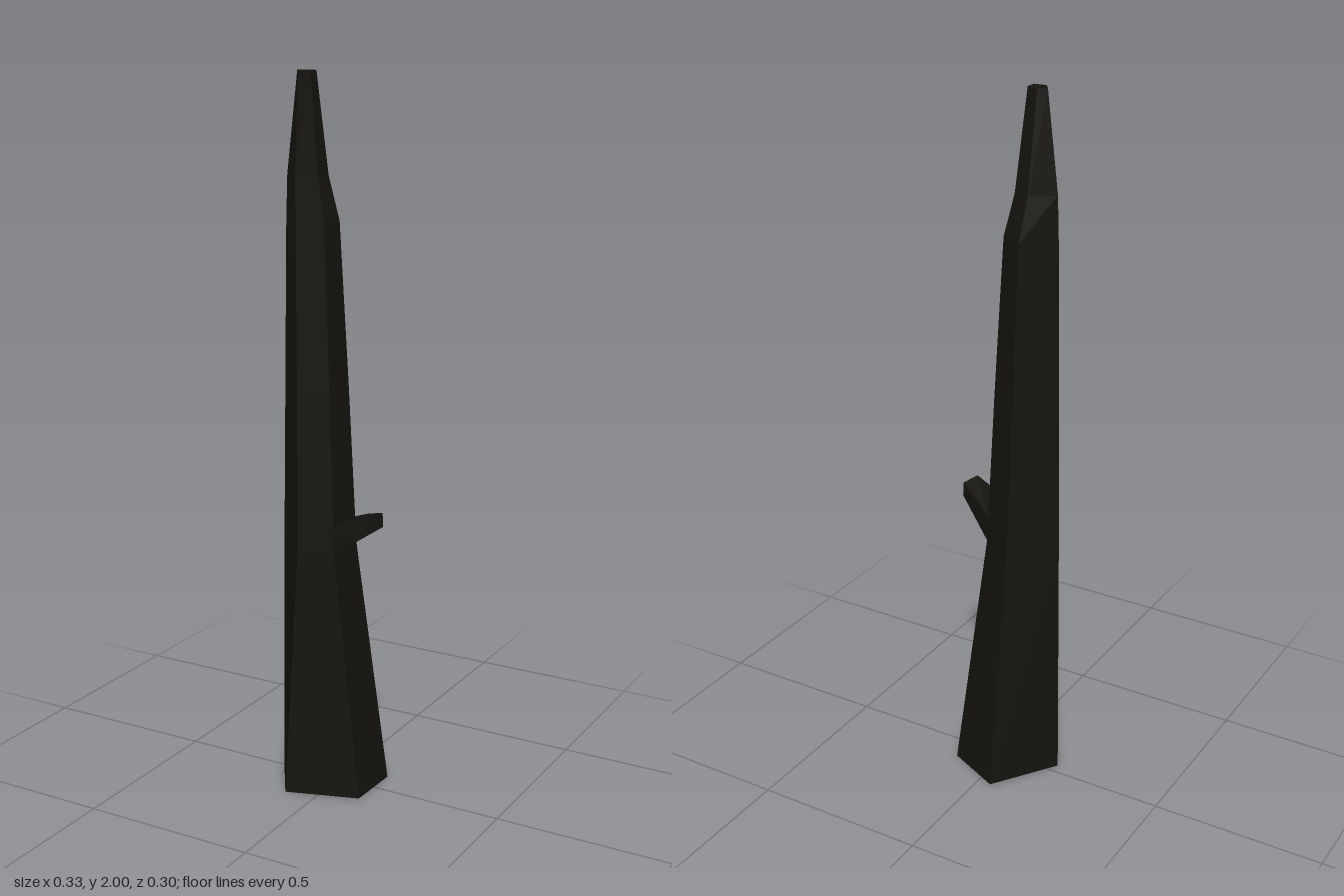
import * as THREE from 'three';

// Skin a list of corner rings (each counterclockwise seen from the far end) and cap both ends
function loft(rings) {
  const pos = [];
  const tri = (...pts) => pts.forEach((p) => pos.push(...p));
  const n = rings[0].length;
  for (let r = 0; r < rings.length - 1; r++) {
    const a = rings[r], b = rings[r + 1];
    for (let i = 0; i < n; i++) {
      const j = (i + 1) % n;
      tri(a[i], a[j], b[j]);
      tri(a[i], b[j], b[i]);
    }
  }
  const first = rings[0], last = rings[rings.length - 1];
  for (let i = 1; i < n - 1; i++) {
    tri(first[0], first[i + 1], first[i]);
    tri(last[0], last[i], last[i + 1]);
  }
  const g = new THREE.BufferGeometry();
  g.setAttribute('position', new THREE.Float32BufferAttribute(pos, 3));
  g.computeVertexNormals();
  return g;
}

export function createModel() {
  const group = new THREE.Group();
  group.name = 'deadTree';
  const bark = new THREE.MeshStandardMaterial({ color: 0x16140f, flatShading: true });
  const add = (name, rings) => {
    const mesh = new THREE.Mesh(loft(rings), bark);
    mesh.name = name;
    group.add(mesh);
  };

  // Five-sided trunk: height, then x, z of the left, front, right-front, right-back and back corners
  const levels = [
    [0, [-0.165, 0.03], [-0.09, 0.149], [0.112, 0.083], [0.118, -0.078], [-0.04, -0.151]],
    [0.72, [-0.152, 0.04], [-0.06, 0.122], [0.042, 0.1], [0.045, -0.02], [-0.055, -0.083]],
    [1.16, [-0.145, 0.04], [-0.075, 0.095], [0.015, 0.078], [0.023, -0.015], [-0.06, -0.062]],
    [1.61, [-0.139, 0.038], [-0.09, 0.072], [-0.012, 0.057], [0, -0.005], [-0.065, -0.04]],
    [1.73, [-0.136, 0.036], [-0.094, 0.067], [-0.03, 0.057], [-0.026, 0.008], [-0.075, -0.012]],
    [2, [-0.108, 0.028], [-0.088, 0.058], [-0.052, 0.056], [-0.052, 0.025], [-0.085, 0.015]],
  ];
  add('trunk', levels.map(([y, ...corners]) => corners.map(([x, z]) => [x, y, z])));

  // Broken side branch, tapering up and outward from the trunk
  add('branchStub', [
    [[0.0, 0.69, 0.1], [0.0, 0.69, -0.015], [0.0, 0.77, -0.015], [0.0, 0.77, 0.1]],
    [[0.042, 0.72, 0.1], [0.045, 0.72, -0.02], [0.042, 0.795, -0.018], [0.036, 0.79, 0.1]],
    [[0.147, 0.79, 0.101], [0.165, 0.802, 0.048], [0.164, 0.842, 0.05], [0.146, 0.85, 0.096]],
  ]);

  return group;
}
